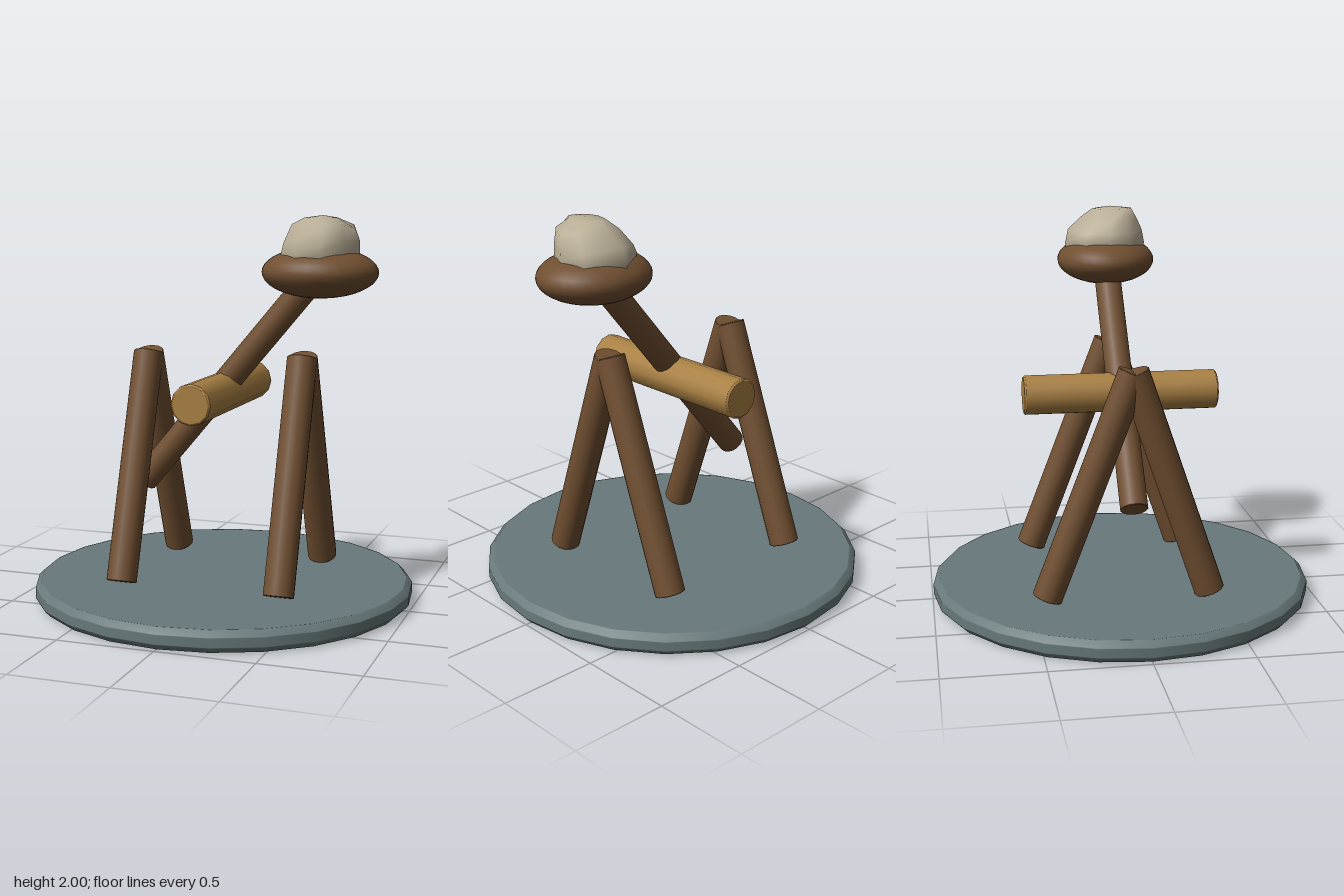
import * as THREE from 'three';

const material = (name, color, side = THREE.FrontSide) => {
  const m = new THREE.MeshStandardMaterial({ color, side });
  m.name = name;
  return m;
};

const V = (x, y, z) => new THREE.Vector3(x, y, z);

// Closed post between two points, with slightly softened end edges
function post(name, a, b, radius, sides, mat, bevel = 0.006) {
  const h = a.distanceTo(b) / 2;
  const profile = [
    [0, -h], [radius - bevel * 1.2, -h], [radius - bevel, -h], [radius, -h + bevel], [radius, -h + bevel * 1.2],
    [radius, h - bevel * 1.2], [radius, h - bevel], [radius - bevel, h], [radius - bevel * 1.2, h], [0, h],
  ].map(([x, y]) => new THREE.Vector2(x, y));
  const mesh = new THREE.Mesh(new THREE.LatheGeometry(profile, sides), mat);
  mesh.name = name;
  mesh.position.copy(a).lerp(b, 0.5);
  mesh.quaternion.setFromUnitVectors(V(0, 1, 0), b.clone().sub(a).normalize());
  return mesh;
}

// Irregular boulder lofted from rings: [y, centre x, centre z, scale x, scale z]
function boulderGeometry() {
  const outline = [
    [-0.205, 0], [-0.18, 0.11], [-0.085, 0.2], [0.045, 0.21], [0.145, 0.12],
    [0.2, 0], [0.165, -0.13], [-0.02, -0.222], [-0.165, -0.13],
  ];
  const rings = [
    [1.72, 0.515, 0, 0.92, 0.92],
    [1.81, 0.515, 0, 1, 1],
    [1.87, 0.522, 0.002, 0.96, 0.93],
    [1.945, 0.535, 0.025, 0.8, 0.7],
    [1.988, 0.525, 0.04, 0.4, 0.5],
  ];
  const n = outline.length, pos = [], index = [];
  rings.forEach(([y, cx, cz, sx, sz], r) => outline.forEach(([x, z], i) => {
    const wobble = r > 0 && r < 4 ? 0.012 * Math.sin(i * 2.4 + r * 1.7) : 0;
    pos.push(cx + x * sx, y + wobble, cz + z * sz);
  }));
  for (let r = 0; r < rings.length - 1; r++) {
    for (let i = 0; i < n; i++) {
      const a = r * n + i, b = r * n + (i + 1) % n;
      index.push(a, b, b + n, a, b + n, a + n);
    }
  }
  // Top and bottom fans
  const top = pos.length / 3, last = (rings.length - 1) * n;
  pos.push(0.53, 2.0, 0.03, 0.515, 1.7, 0);
  for (let i = 0; i < n; i++) {
    const j = (i + 1) % n;
    index.push(last + i, last + j, top, j, i, top + 1);
  }
  const g = new THREE.BufferGeometry();
  g.setAttribute('position', new THREE.Float32BufferAttribute(pos, 3));
  g.setIndex(index);
  g.computeVertexNormals();
  return g;
}

export function createModel() {
  const slate = material('slate', 0x68797b);
  const wood = material('dark wood', 0x704f31);
  const paleWood = material('pale wood', 0xa98043);
  const stone = material('stone', 0xb9ae96);
  const group = new THREE.Group();
  group.name = 'catapult';

  // Round plinth
  const base = post('base', V(0, 0, 0), V(0, 0.11, 0), 0.995, 24, slate, 0.028);
  group.add(base);

  // A-shaped trestles on each side
  for (const side of [-1, 1]) {
    const trestle = new THREE.Group();
    trestle.name = side < 0 ? 'rightTrestle' : 'leftTrestle';
    const x = side * 0.422;
    trestle.add(
      post('frontLeg', V(x, 0.13, 0.395), V(x, 1.28, 0), 0.078, 16, wood, 0.003),
      post('backLeg', V(x, 0.135, -0.438), V(x, 1.28, 0), 0.078, 16, wood, 0.003),
    );
    group.add(trestle);
  }

  // Pivot bar and throwing arm
  group.add(post('pivotBar', V(0, 1.086, -0.505), V(0, 1.086, 0.505), 0.104, 12, paleWood, 0.008));
  group.add(post('throwingArm', V(-0.451, 0.587, 0), V(0.49, 1.705, 0), 0.071, 16, wood, 0.003));

  // Flattened cup at the arm's tip
  const cup = new THREE.Mesh(new THREE.SphereGeometry(1, 32, 20), wood);
  cup.name = 'cup';
  cup.scale.set(0.297, 0.13, 0.261);
  cup.position.set(0.51, 1.715, 0);
  group.add(cup);

  // Boulder resting in the cup
  const boulder = new THREE.Mesh(boulderGeometry(), stone);
  boulder.name = 'boulder';
  group.add(boulder);

  return group;
}
